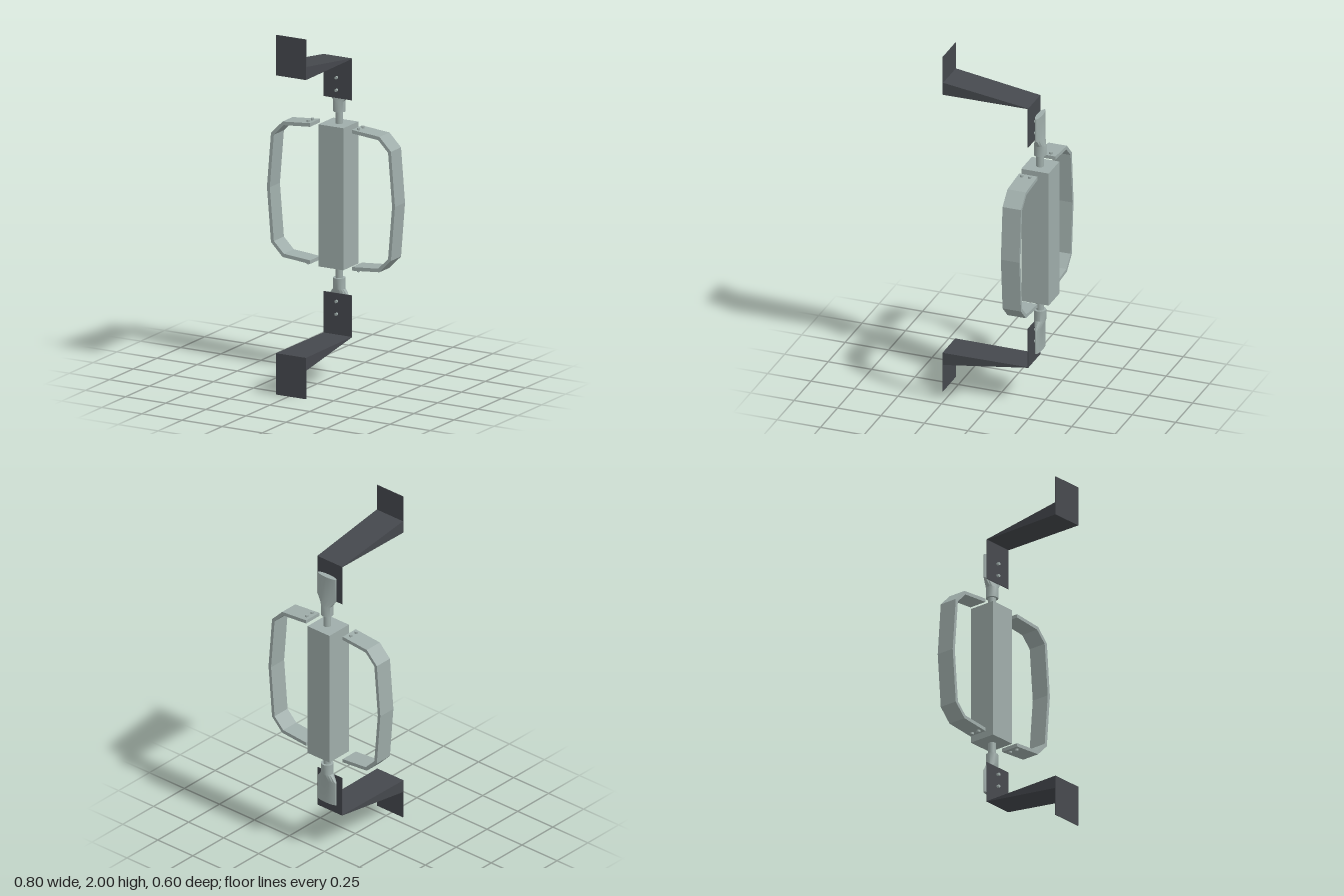
import * as THREE from 'three';
import { toCreasedNormals } from 'three/addons/utils/BufferGeometryUtils.js';

const steel = new THREE.MeshStandardMaterial({ color: 0x9fadaa });
steel.name = 'pale steel';
const dark = new THREE.MeshStandardMaterial({ color: 0x45484d });
dark.name = 'dark bracket';

const SHAFT_X = 0.005, SHAFT_Z = -0.222;
const MIRROR_SUM = 2.005; // lower y = MIRROR_SUM - upper y

function add(parent, name, geometry, material, x = 0, y = 0, z = 0) {
  const mesh = new THREE.Mesh(geometry, material);
  mesh.name = name;
  mesh.position.set(x, y, z);
  parent.add(mesh);
  return mesh;
}

function toShape(points) {
  return new THREE.Shape(points.map(([x, y]) => new THREE.Vector2(x, y)));
}

// Elliptical sections [y, halfWidth, halfDepth], listed from top to bottom
function loft(rows) {
  const last = rows.length - 1;
  const geo = new THREE.CylinderGeometry(1, 1, 1, 16, last);
  const pos = geo.attributes.position;
  for (let i = 0; i < pos.count; i++) {
    const [y, rx, rz] = rows[Math.round((0.5 - pos.getY(i)) * last)];
    pos.setXYZ(i, pos.getX(i) * rx, y, pos.getZ(i) * rz);
  }
  return toCreasedNormals(geo, 0.5);
}

// Bent sheet with a wedge-shaped arm, slightly wider at the front
function bracketGeometry(fy, endY) {
  const profile = [
    [-0.188, fy(1.545)], [-0.188, fy(1.775)], [0.3, fy(1.775)], [0.3, endY],
    [0.296, endY], [0.296, fy(1.847)], [-0.192, fy(1.778)], [-0.192, fy(1.545)],
  ];
  const geo = new THREE.ExtrudeGeometry(toShape(profile), { depth: 1, bevelEnabled: false });
  geo.rotateY(-Math.PI / 2).translate(0.5, 0, 0);
  const pos = geo.attributes.position;
  for (let i = 0; i < pos.count; i++) {
    const t = (pos.getZ(i) + 0.19) / 0.49;
    pos.setX(i, 0.0135 + pos.getX(i) * (0.177 + 0.01 * t));
  }
  geo.computeVertexNormals();
  return geo;
}

// Shaft, flattened paddle and bracket at one end of the bar
function endAssembly(name, fy, endY, flipped) {
  const group = new THREE.Group();
  group.name = name;
  add(group, 'shaft', new THREE.CylinderGeometry(0.021, 0.021, 0.09, 16), steel,
    SHAFT_X, fy(1.43), SHAFT_Z);

  const rows = [
    [1.705, 0.067, 0.016], [1.57, 0.067, 0.016],
    [1.525, 0.034, 0.033], [1.465, 0.034, 0.033],
  ].map(([y, rx, rz]) => [fy(y), rx, rz]);
  if (flipped) rows.reverse();
  add(group, 'collarAndPaddle', loft(rows), steel, SHAFT_X, 0, SHAFT_Z);

  add(group, 'bracket', bracketGeometry(fy, endY), dark);
  for (const y of [1.66, 1.59]) {
    const bolt = new THREE.CylinderGeometry(0.009, 0.009, 0.022, 6).rotateX(Math.PI / 2);
    add(group, 'bracketBolt', bolt, steel, 0.01, fy(y), -0.186);
  }
  return group;
}

// Flat bar bent around one side, with two bolts at each end
function handle(name, side) {
  const group = new THREE.Group();
  group.name = name;
  const shift = -0.004;
  const outer = [[0.13, 1.394], [0.302, 1.379], [0.374, 1.306], [0.399, 1.0025]];
  const inner = [[0.13, 1.374], [0.294, 1.36], [0.356, 1.298], [0.381, 1.0025]];
  const full = (half) => [
    ...half,
    ...half.slice(0, -1).reverse().map(([x, y]) => [x, MIRROR_SUM - y]),
  ];
  const outline = [...full(outer), ...full(inner).reverse()]
    .map(([x, y]) => [side * x + shift, y]);
  const geo = new THREE.ExtrudeGeometry(toShape(outline), { depth: 0.106, bevelEnabled: false });
  add(group, 'handleBar', geo, steel, 0, 0, -0.255);

  for (const y of [1.393, MIRROR_SUM - 1.393]) {
    for (const z of [-0.22, -0.175]) {
      const bolt = new THREE.CylinderGeometry(0.01, 0.01, 0.02, 6).rotateY(Math.PI / 6);
      add(group, 'handleBolt', bolt, steel, side * 0.157 + shift, y, z);
    }
  }
  return group;
}

export function createModel() {
  const model = new THREE.Group();
  model.name = 'doorHandleAssembly';

  // Central square bar
  add(model, 'centralBar', new THREE.BoxGeometry(0.156, 0.79, 0.158), steel,
    -0.001, MIRROR_SUM / 2, -0.221);

  // Upper and lower ends
  model.add(endAssembly('upperEnd', (y) => y, 2, false));
  model.add(endAssembly('lowerEnd', (y) => MIRROR_SUM - y, 0, true));

  // Side handles
  model.add(handle('leftHandle', 1));
  model.add(handle('rightHandle', -1));

  return model;
}
